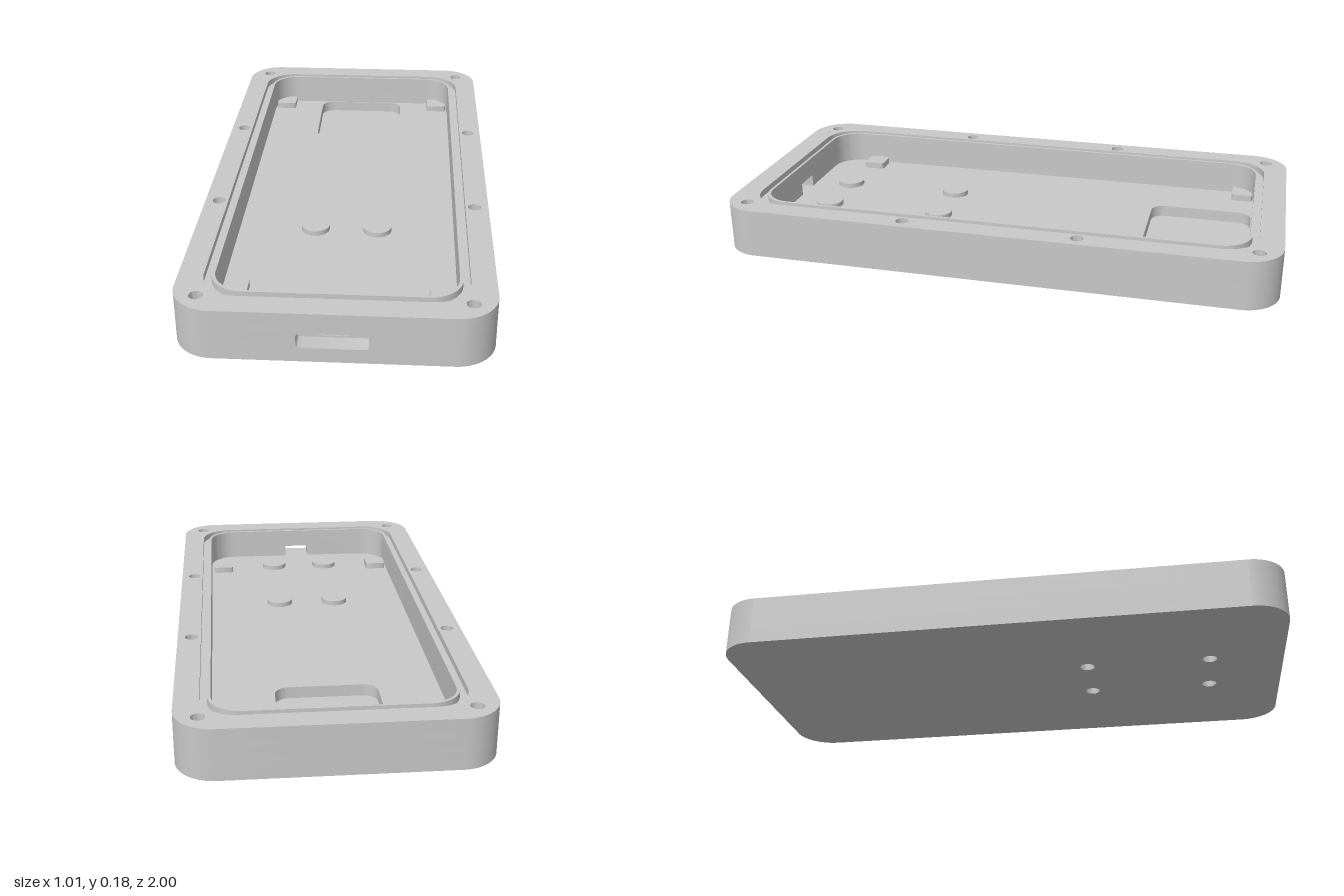
import * as THREE from 'three';
import { toCreasedNormals } from 'three/addons/utils/BufferGeometryUtils.js';

const gray = new THREE.MeshStandardMaterial({ color: 0xc8c8c8 });
gray.name = 'plain gray';

const GAP = 0.12; // half width of the opening that takes the port insert
const FLOOR = 0.057;
const TOP = 0.176;

// Rounded rectangle in (x, z), counter-clockwise, starting and ending at the middle of the front edge
function outline(halfW, z0, z1, r, gap = 0) {
  const pts = [];
  if (gap) pts.push(new THREE.Vector2(-gap, z1));
  const corners = [[-halfW + r, z1 - r, 90], [-halfW + r, z0 + r, 180], [halfW - r, z0 + r, 270], [halfW - r, z1 - r, 0]];
  for (const [cx, cz, start] of corners) {
    for (let i = 0; i <= 14; i++) {
      const a = THREE.MathUtils.degToRad(start + (90 * i) / 14);
      pts.push(new THREE.Vector2(cx + r * Math.cos(a), cz + r * Math.sin(a)));
    }
  }
  if (gap) pts.push(new THREE.Vector2(gap, z1));
  return pts;
}

const circle = (x, z, r) => new THREE.Path().absarc(x, z, r, 0, Math.PI * 2);
const outer = (gap) => outline(0.506, -1, 1, 0.13, gap);
const cavity = (gap) => outline(0.389, -0.884, 0.88, 0.1, gap);
const grooveOuter = () => outline(0.424, -0.916, 0.915, 0.12);
const grooveInner = () => outline(0.4, -0.892, 0.89, 0.108);
const recess = () => new THREE.Path(outline(0.177, -0.88, -0.502, 0.05));

function addMesh(group, name, geometry) {
  const mesh = new THREE.Mesh(geometry, gray);
  mesh.name = name;
  group.add(mesh);
  return mesh;
}

function extrude(points, holes, depth) {
  const shape = new THREE.Shape(points);
  shape.holes.push(...holes);
  const g = new THREE.ExtrudeGeometry(shape, { depth, bevelEnabled: false, curveSegments: 16 });
  return toCreasedNormals(g, 0.6);
}

// Horizontal slab between two heights
function layer(group, name, y0, y1, points, holes = []) {
  addMesh(group, name, extrude(points, holes, y1 - y0).rotateX(Math.PI / 2).translate(0, y1, 0));
}

export function createModel() {
  const group = new THREE.Group();
  group.name = 'phoneTray';

  const bosses = [];
  for (const x of [-0.112, 0.112]) for (const z of [0.288, 0.735]) bosses.push([x, z]);
  const pinHoles = () => bosses.map(([x, z]) => circle(x, z, 0.027));

  const screws = [];
  for (const s of [-1, 1]) {
    for (const [x, z] of [[0.427, -0.919], [0.457, -0.314], [0.457, 0.31], [0.427, 0.918]]) screws.push([s * x, z]);
  }
  const screwHoles = () => screws.map(([x, z]) => circle(x, z, 0.023));

  // Floor: solid base, then layers open over the rear recess
  layer(group, 'base', 0, 0.015, outer(), pinHoles());
  layer(group, 'lowerFloor', 0.015, 0.045, outer(), [recess(), ...pinHoles()]);
  const notch = [new THREE.Vector2(GAP, 0.88), new THREE.Vector2(-GAP, 0.88)];
  layer(group, 'upperFloor', 0.045, FLOOR, [...outer(GAP), ...notch], [recess(), ...pinHoles()]);

  // Walls: open at the port, closed above it, then split by the seal groove
  layer(group, 'lowerWall', FLOOR, 0.11, [...outer(GAP), ...cavity(GAP).reverse()], screwHoles());
  layer(group, 'upperWall', 0.11, 0.152, outer(), [new THREE.Path(cavity()), ...screwHoles()]);
  layer(group, 'rim', 0.152, TOP, outer(), [new THREE.Path(grooveOuter()), ...screwHoles()]);
  layer(group, 'sealLip', 0.152, TOP, grooveInner(), [new THREE.Path(cavity())]);

  // Port insert: wide rounded slot outside, narrow opening inside
  const face = [[-GAP, 0.045], [GAP, 0.045], [GAP, 0.11], [-GAP, 0.11]].map(([x, y]) => new THREE.Vector2(x, y));
  const slot = new THREE.Path(outline(0.113, 0.051, 0.103, 0.013));
  addMesh(group, 'portSlot', extrude(face, [slot], 0.06).translate(0, 0, 0.94));
  const opening = new THREE.Path(
    [[-0.05, FLOOR], [0.05, FLOOR], [0.05, 0.103], [-0.05, 0.103]].map(([x, y]) => new THREE.Vector2(x, y)));
  addMesh(group, 'portOpening', extrude(face, [opening], 0.06).translate(0, 0, 0.88));

  // Round bosses capping the pin holes
  for (const [x, z] of bosses) {
    addMesh(group, 'boss', new THREE.CylinderGeometry(0.051, 0.051, 0.018, 40)).position.set(x, FLOOR + 0.009, z);
  }

  // Corner support blocks
  for (const x of [-0.34, 0.34]) {
    for (const z of [-0.838, 0.708]) {
      const block = extrude(outline(0.041, -0.04, 0.04, 0.01), [], 0.024);
      addMesh(group, 'supportBlock', block.rotateX(Math.PI / 2)).position.set(x, FLOOR + 0.024, z);
    }
  }
  return group;
}
